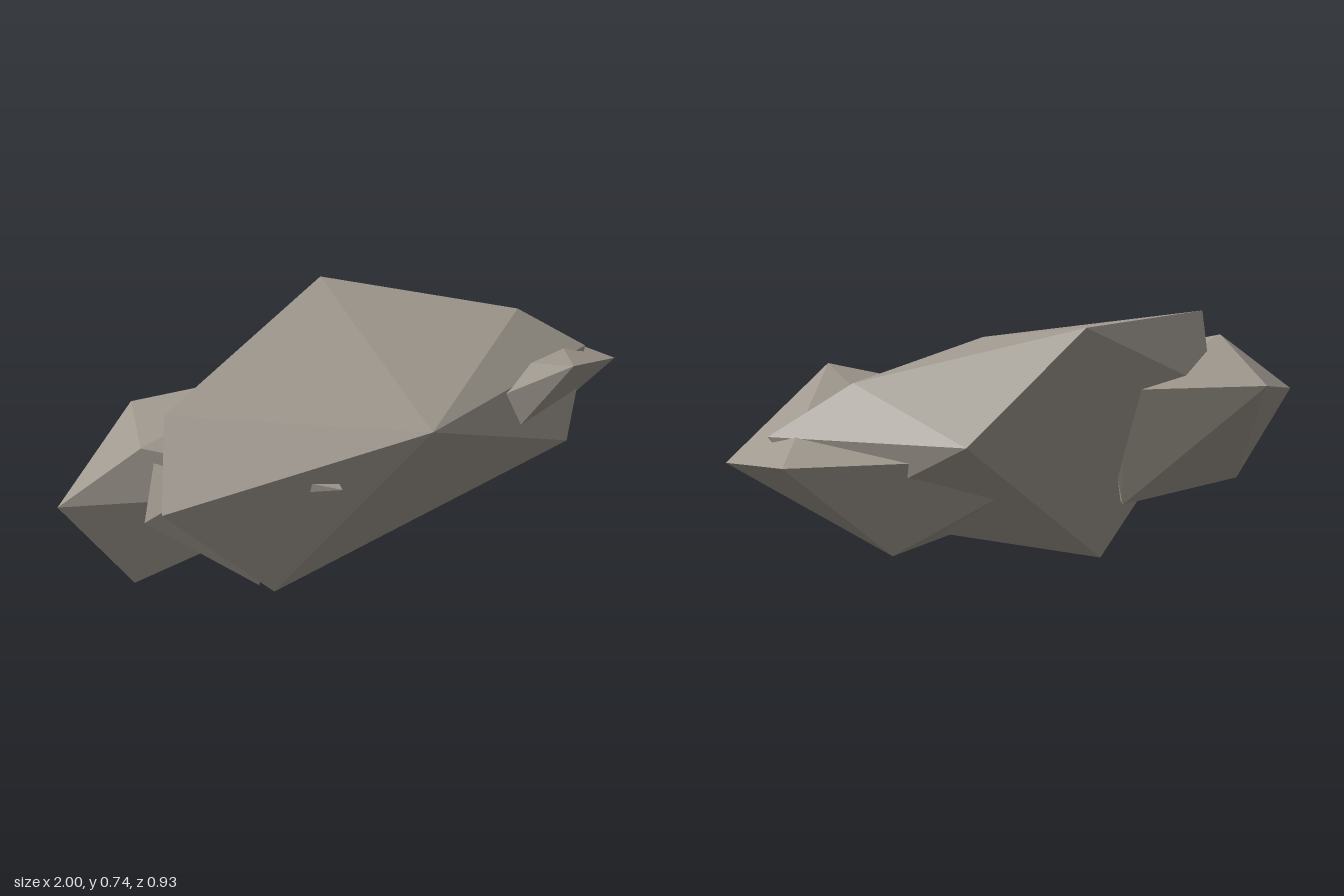
import * as THREE from 'three';
import { ConvexGeometry } from 'three/addons/geometries/ConvexGeometry.js';

export function createModel() {
  const group = new THREE.Group();
  const stone = new THREE.MeshStandardMaterial({ color: 0xa29b91, flatShading: true });
  stone.name = 'stone';

  // One faceted boulder: the hull around a few corner points
  const addRock = (name, corners) => {
    const points = corners.map((c) => new THREE.Vector3(...c));
    const mesh = new THREE.Mesh(new ConvexGeometry(points), stone);
    mesh.name = name;
    group.add(mesh);
  };

  // Large central slab
  addRock('mainRock', [
    [0.17, 0.735, -0.385], [-0.2, 0.565, 0.463], [0.57, 0.445, -0.33],
    [0.89, 0.45, 0.135], [0.695, 0.594, 0], [-0.77, 0.645, 0],
    [-0.9, 0.437, 0.14], [-0.6, 0.133, 0.24], [0.55, 0.273, 0.343],
    [-0.02, 0, -0.262], [-0.53, 0.45, -0.25], [0.77, 0.225, 0.01],
  ]);

  // Boulder pushed through the left end
  addRock('leftRock', [
    [0.47, 0.567, 0.418], [1, 0.388, 0.178], [0.98, 0.41, -0.06],
    [0.67, 0.12, -0.13], [0.12, 0.08, 0.07], [0.11, 0.245, 0.31],
    [0.05, 0.205, 0.285], [0.1, 0.46, 0.25], [0.6, 0.39, -0.215],
    [0.38, 0.265, -0.26],
  ]);

  // Boulder at the back of the right end, its far tip showing in front
  addRock('rightRock', [
    [-1, 0.378, -0.2], [-0.54, 0.485, -0.465], [-0.8, 0.09, -0.14],
    [-0.835, 0.56, -0.025], [-0.08, 0.51, -0.29], [-0.08, 0.16, -0.295],
    [-0.05, 0.33, -0.28], [-0.46, 0.445, 0.372],
  ]);

  // Buried boulder whose corner just breaks through the right end
  addRock('buriedRock', [
    [-0.95, 0.43, 0.13], [-0.62, 0.145, 0.2], [-0.76, 0.55, -0.05],
    [-0.4, 0.5, 0.1], [-0.4, 0.3, -0.05],
  ]);

  return group;
}
